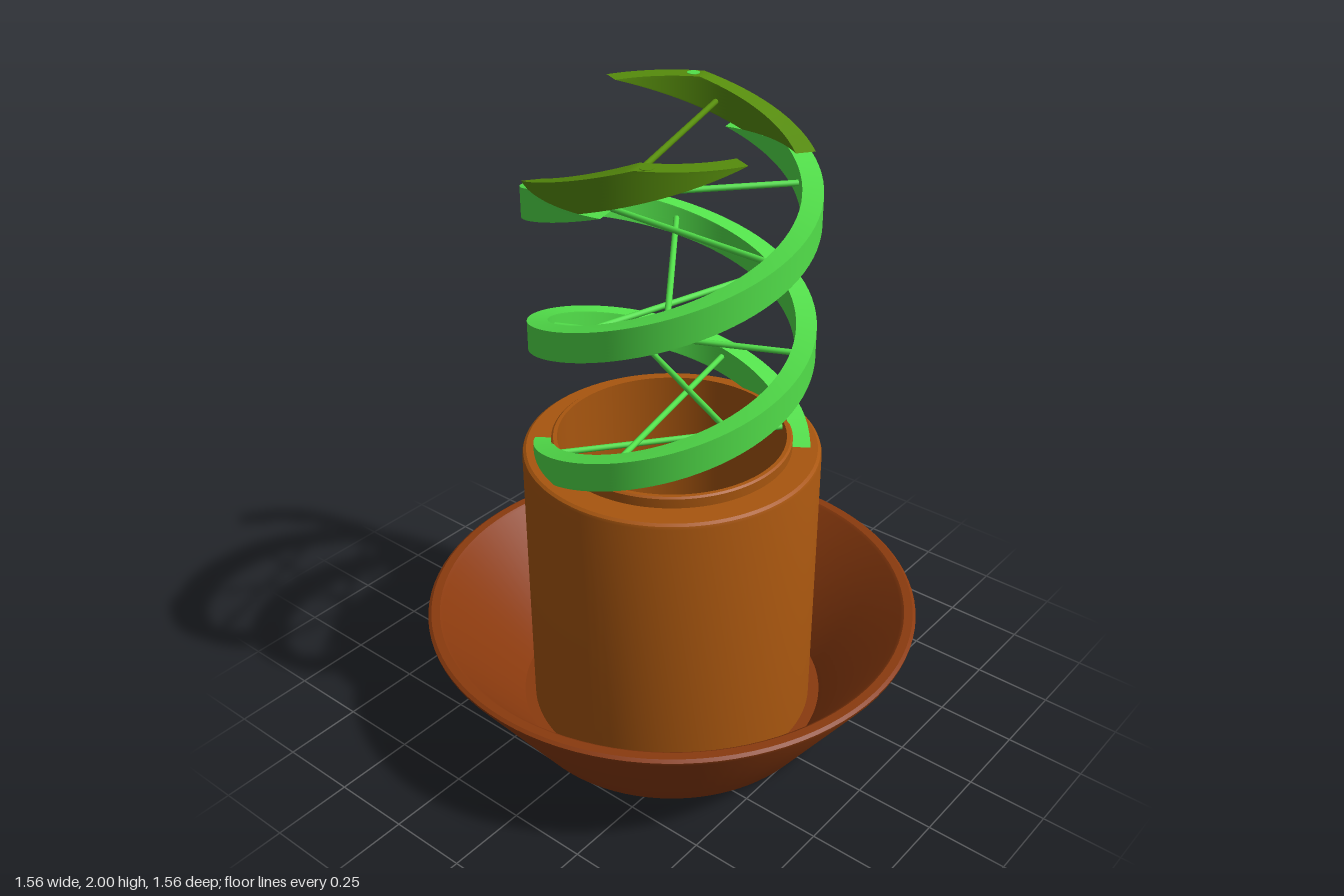
import * as THREE from 'three';
import { toCreasedNormals } from 'three/addons/utils/BufferGeometryUtils.js';

const TAU = Math.PI * 2;
const PITCH = 0.82;
const mat = (color) => new THREE.MeshStandardMaterial({ color });
const green = mat(0x52e04a);
const olive = mat(0x568c0c);
const clay = mat(0xa8560f);
const rust = mat(0x8a3a0e);

function addMesh(parent, name, geometry, material) {
  const mesh = new THREE.Mesh(geometry, material);
  mesh.name = name;
  parent.add(mesh);
  return mesh;
}

// Solid of revolution from an [r, y] profile, walked up the outside and down the inside
function lathe(points) {
  const profile = points.map(([r, y]) => new THREE.Vector2(r, y));
  return toCreasedNormals(new THREE.LatheGeometry(profile, 96), 0.5);
}

// Curved bar: a flat arc section swept upwards while turning about y
function strand(y0, y1, crossingY, offset) {
  const half = THREE.MathUtils.degToRad(20);
  const shape = new THREE.Shape();
  shape.absarc(0, 0, 0.42, -half, half, false);
  shape.absarc(0, 0, 0.36, half, -half, true);
  const geo = new THREE.ExtrudeGeometry(shape, {
    depth: y1 - y0, steps: Math.ceil((y1 - y0) * 100), curveSegments: 10, bevelEnabled: false,
  });
  geo.rotateX(-Math.PI / 2).rotateY(-Math.PI / 2).translate(0, y0, 0);
  const p = geo.attributes.position;
  const v = new THREE.Vector3();
  const up = new THREE.Vector3(0, 1, 0);
  for (let i = 0; i < p.count; i++) {
    v.fromBufferAttribute(p, i);
    v.applyAxisAngle(up, ((v.y - crossingY) / PITCH) * TAU + offset);
    p.setXYZ(i, v.x, v.y, v.z);
  }
  return toCreasedNormals(geo, 0.6);
}

// Thin horizontal bar through the axis, angle measured from +z towards +x
function addRung(parent, y, degrees, material) {
  const geo = new THREE.CylinderGeometry(0.009, 0.009, 0.74, 12).rotateX(Math.PI / 2);
  const rung = addMesh(parent, 'rung', geo, material);
  rung.position.y = y;
  rung.rotation.y = THREE.MathUtils.degToRad(degrees);
}

export function createModel() {
  const model = new THREE.Group();

  // Flared saucer
  addMesh(model, 'saucer', lathe([
    [0, 0], [0.51, 0], [0.78, 0.385], [0.782, 0.395], [0.772, 0.402],
    [0.745, 0.402], [0.735, 0.395], [0.49, 0.045], [0, 0.045],
  ]), rust);

  // Hollow cup with a raised inner lip
  addMesh(model, 'cup', lathe([
    [0, 0.03], [0.455, 0.03], [0.455, 0.96], [0.452, 0.969], [0.443, 0.975],
    [0.366, 0.975], [0.366, 1.005], [0.36, 1.01], [0.348, 1.01], [0.348, 0.09], [0, 0.09],
  ]), clay);

  // Double helix: long lower section and short top section
  const lower = new THREE.Group();
  lower.name = 'lowerHelix';
  const upper = new THREE.Group();
  upper.name = 'upperHelix';
  model.add(lower, upper);
  for (const offset of [0, Math.PI]) {
    addMesh(lower, 'lowerStrand', strand(0.972, 1.86, 1.055, offset), green);
    addMesh(upper, 'upperStrand', strand(1.86, 2, 1.895, offset), olive);

    // Round pin set flush in the strand top
    const a = offset + THREE.MathUtils.degToRad(30);
    const pin = addMesh(upper, 'pin', new THREE.CylinderGeometry(0.019, 0.019, 0.02, 20),
      offset ? green : olive);
    pin.position.set(0.395 * Math.sin(a), 1.9915, 0.395 * Math.cos(a));
  }

  // Rungs turn evenly up the lower section
  for (let i = 0; i < 8; i++) addRung(lower, 0.985 + i * 0.1145, -38 + i * 51, green);
  addRung(upper, 1.93, 18.5, olive);

  return model;
}
